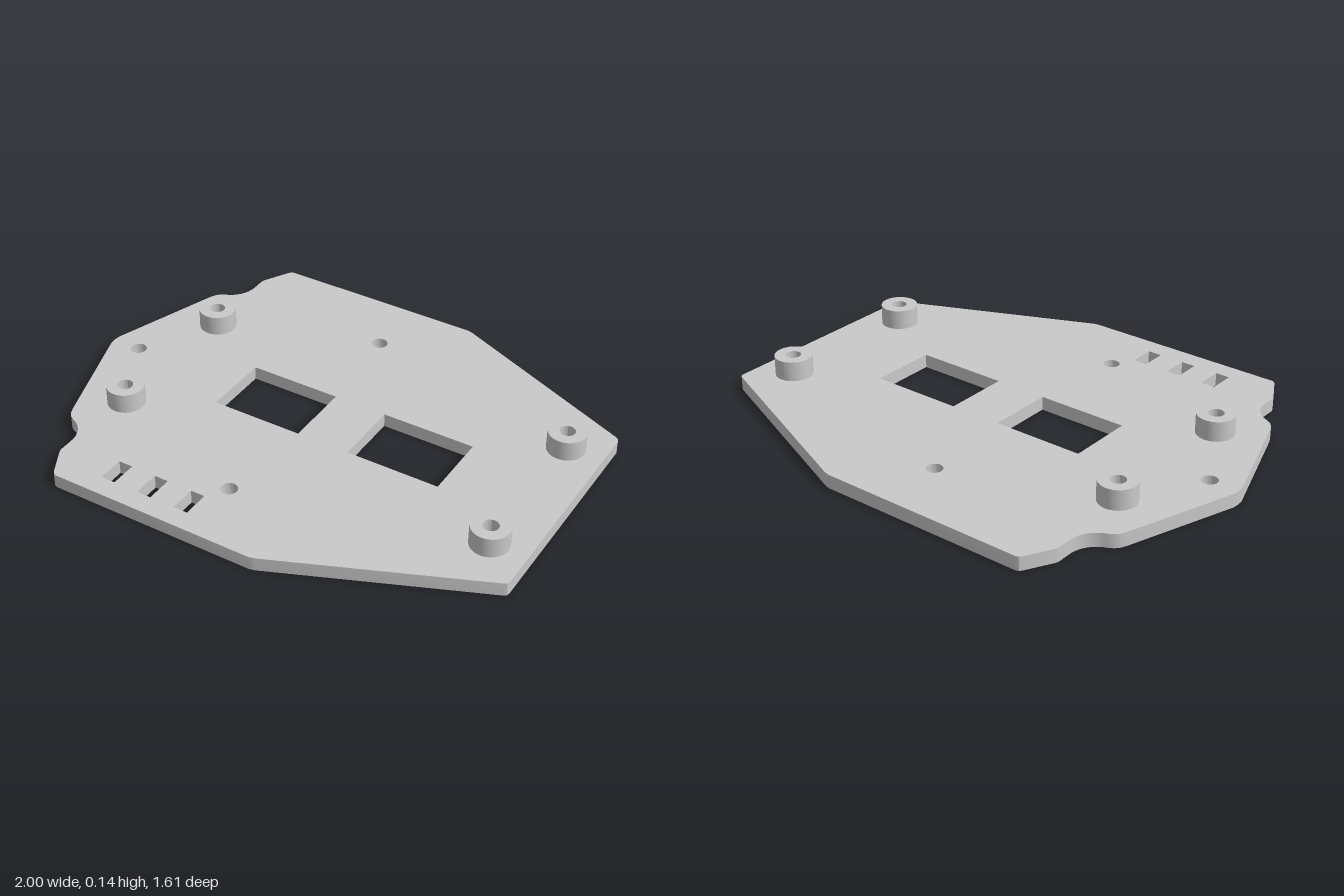
import * as THREE from 'three';
import { toCreasedNormals } from 'three/addons/utils/BufferGeometryUtils.js';

const PLATE = 0.055; // plate thickness
const TOP = 0.135;   // top of the standoffs

const toPoints = list => list.map(([x, y]) => new THREE.Vector2(x, y));

// Shapes are drawn in (x, z) and extruded down through the plate;
// the outline runs clockwise and the holes counter-clockwise
function rectHole(x0, x1, z0, z1) {
  return new THREE.Path(toPoints([[x0, z0], [x1, z0], [x1, z1], [x0, z1]]));
}

function roundHole(x, z, r) {
  return new THREE.Path().absarc(x, z, r, 0, Math.PI * 2, false);
}

// Outline mirrored about z = 0: rounded nose, notched shoulders, tapered far end
function plateOutline() {
  const half = [[-0.998, 0.025], [-0.853, 0.455], [-0.842, 0.48], [-0.828, 0.496]];
  const notch = new THREE.EllipseCurve(-0.847, 0.615, 0.114, 0.114, -1.24, 0);
  notch.getPoints(10).forEach(p => half.push([p.x, p.y]));
  half.push([-0.733, 0.675], [-0.728, 0.69], [-0.673, 0.79], [-0.665, 0.8], [-0.653, 0.804],
    [0.185, 0.804], [0.208, 0.798], [0.985, 0.466], [0.996, 0.458], [1, 0.446]);
  const other = half.map(([x, z]) => [x, -z]).reverse();
  return new THREE.Shape(toPoints([[-1, 0], ...half, ...other]));
}

export function createModel() {
  const model = new THREE.Group();
  model.name = 'mountingPlate';
  const grey = new THREE.MeshStandardMaterial({ color: 0xc9c9c9 });
  grey.name = 'grey';

  // Base plate with windows, slots and screw holes
  const shape = plateOutline();
  shape.holes.push(
    rectHole(-0.41, -0.038, -0.136, 0.136),
    rectHole(0.178, 0.555, -0.136, 0.136),
    roundHole(-0.88, 0, 0.032),
    roundHole(-0.076, 0.537, 0.032),
    roundHole(-0.076, -0.537, 0.032));
  for (const x of [-0.477, -0.317, -0.157]) {
    shape.holes.push(rectHole(x - 0.029, x + 0.029, 0.618, 0.724));
  }
  const plateGeo = new THREE.ExtrudeGeometry(shape, { depth: PLATE, bevelEnabled: false, curveSegments: 16 });
  plateGeo.rotateX(Math.PI / 2).translate(0, PLATE, 0);
  const plate = new THREE.Mesh(toCreasedNormals(plateGeo, 0.5), grey);
  plate.name = 'basePlate';
  model.add(plate);

  // Four hollow standoffs, closed at the bottom by the plate
  const profile = toPoints([[0.074, PLATE], [0.074, TOP], [0.03, TOP], [0.03, PLATE]]);
  const standoffGeo = toCreasedNormals(new THREE.LatheGeometry(profile, 40), 0.5);
  for (const x of [-0.706, 0.852]) {
    for (const z of [-0.309, 0.309]) {
      const standoff = new THREE.Mesh(standoffGeo, grey);
      standoff.name = 'standoff';
      standoff.position.set(x, 0, z);
      model.add(standoff);
    }
  }
  return model;
}
